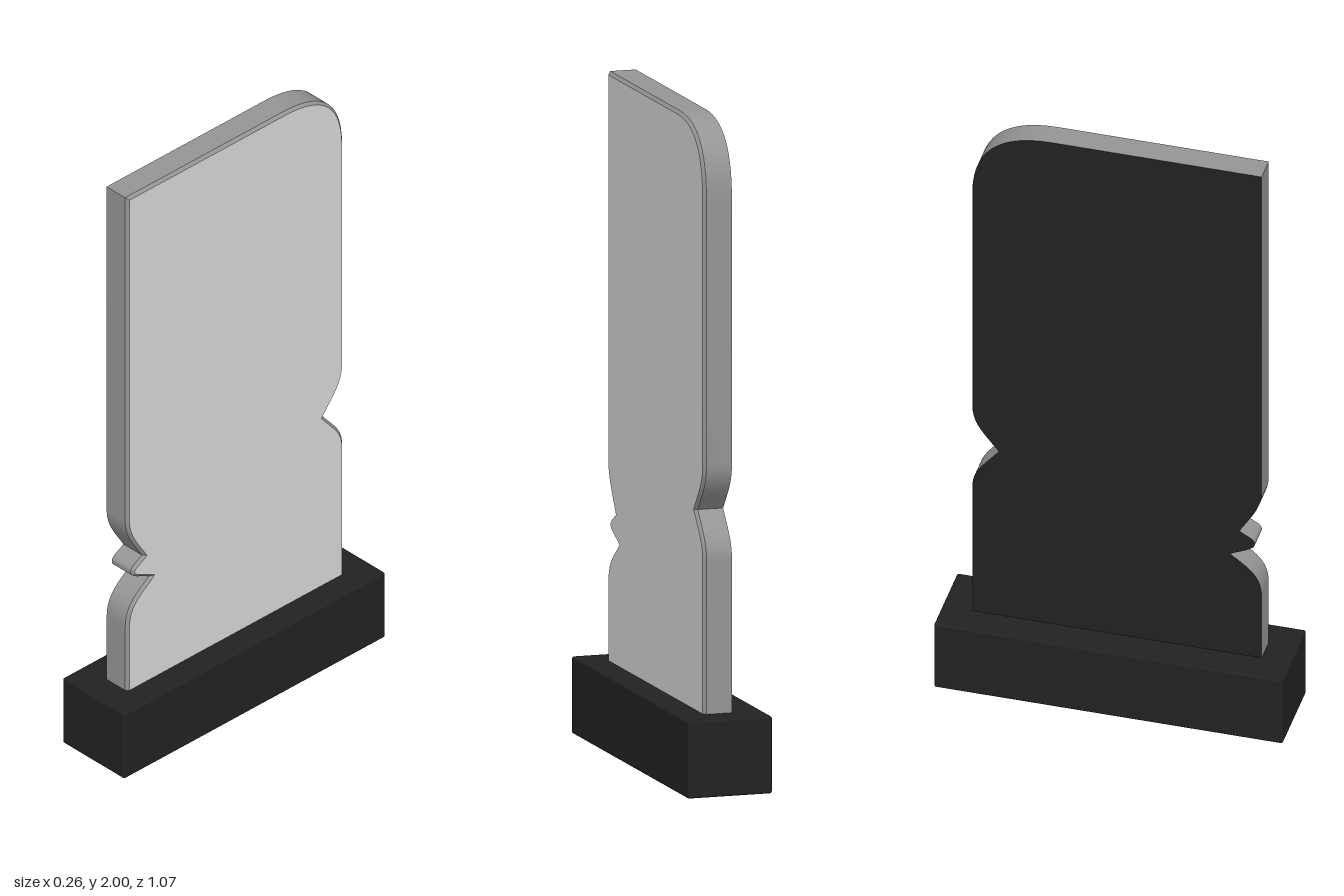
import * as THREE from 'three';
import { toCreasedNormals } from 'three/addons/utils/BufferGeometryUtils.js';
import { RoundedBoxGeometry } from 'three/addons/geometries/RoundedBoxGeometry.js';

const BACK = -0.037, SHOULDER = 0.042, FRONT = 0.051, BEVEL = 0.009;

// Slab silhouette: first axis runs towards -z, second is height
function slabOutline() {
  const s = new THREE.Shape();
  s.moveTo(-0.443, 0.2);
  s.lineTo(0.441, 0.2);
  s.lineTo(0.441, 0.69);
  s.bezierCurveTo(0.441, 0.75, 0.405, 0.775, 0.36, 0.832); // rear notch
  s.bezierCurveTo(0.405, 0.89, 0.441, 0.92, 0.441, 0.985);
  s.lineTo(0.441, 1.77);
  s.bezierCurveTo(0.441, 1.92, 0.365, 2, 0.2, 2); // rounded top corner
  s.lineTo(-0.443, 2);
  s.lineTo(-0.443, 0.84);
  s.bezierCurveTo(-0.443, 0.78, -0.405, 0.735, -0.375, 0.685); // front notch
  s.bezierCurveTo(-0.395, 0.67, -0.422, 0.665, -0.422, 0.645); // small tongue
  s.bezierCurveTo(-0.422, 0.625, -0.385, 0.615, -0.346, 0.596);
  s.bezierCurveTo(-0.4, 0.555, -0.443, 0.535, -0.443, 0.455);
  s.closePath();
  const pts = s.getPoints(14);
  return pts.filter((p, i) => p.distanceTo(pts[(i + 1) % pts.length]) > 1e-5);
}

// Move every point inwards along the mitre of its two edges
function inset(pts, d) {
  const n = pts.length;
  return pts.map((p, i) => {
    const a = p.clone().sub(pts[(i + n - 1) % n]).normalize();
    const b = pts[(i + 1) % n].clone().sub(p).normalize();
    const m = new THREE.Vector2(-a.y - b.y, a.x + b.x).normalize();
    const c = Math.max(0.6, m.x * -b.y + m.y * b.x);
    return p.clone().addScaledVector(m, d / c);
  });
}

// Wall between two outlines lying at different x
function wall(ptsA, xA, ptsB, xB) {
  const pos = [], n = ptsA.length;
  for (let i = 0; i < n; i++) {
    const j = (i + 1) % n;
    const a = [xA, ptsA[i].y, -ptsA[i].x], b = [xA, ptsA[j].y, -ptsA[j].x];
    const c = [xB, ptsB[j].y, -ptsB[j].x], d = [xB, ptsB[i].y, -ptsB[i].x];
    pos.push(...a, ...b, ...c, ...a, ...c, ...d);
  }
  const g = new THREE.BufferGeometry();
  g.setAttribute('position', new THREE.Float32BufferAttribute(pos, 3));
  return toCreasedNormals(g, 0.5);
}

// Flat face of the slab, looking towards +x (side 1) or -x (side -1)
function face(pts, x, side) {
  const shape = new THREE.Shape(pts.map(p => new THREE.Vector2(p.x * side, p.y)));
  return new THREE.ShapeGeometry(shape).rotateY(side * Math.PI / 2).translate(x, 0, 0);
}

export function createModel() {
  const material = (name, color) => {
    const m = new THREE.MeshStandardMaterial({ color });
    m.name = name;
    return m;
  };
  const paleGrey = material('paleGrey', 0xd8d8d8);
  const midGrey = material('midGrey', 0x959595);
  const black = material('black', 0x222222);

  const model = new THREE.Group();
  model.name = 'trophy';
  const add = (name, geometry, mat) => {
    const mesh = new THREE.Mesh(geometry, mat);
    mesh.name = name;
    model.add(mesh);
    return mesh;
  };

  // Plinth
  add('base', new RoundedBoxGeometry(0.264, 0.232, 1.066, 2, 0.007), black).position.y = 0.116;

  // Notched slab, bevelled on its +x face only
  const outline = slabOutline(), inner = inset(outline, BEVEL);
  add('slabEdge', wall(outline, BACK, outline, SHOULDER), midGrey);
  add('slabBevel', wall(outline, SHOULDER, inner, FRONT), midGrey);
  add('slabFace', face(inner, FRONT, 1), paleGrey);
  add('slabBacking', face(outline, BACK, -1), black);

  return model;
}
